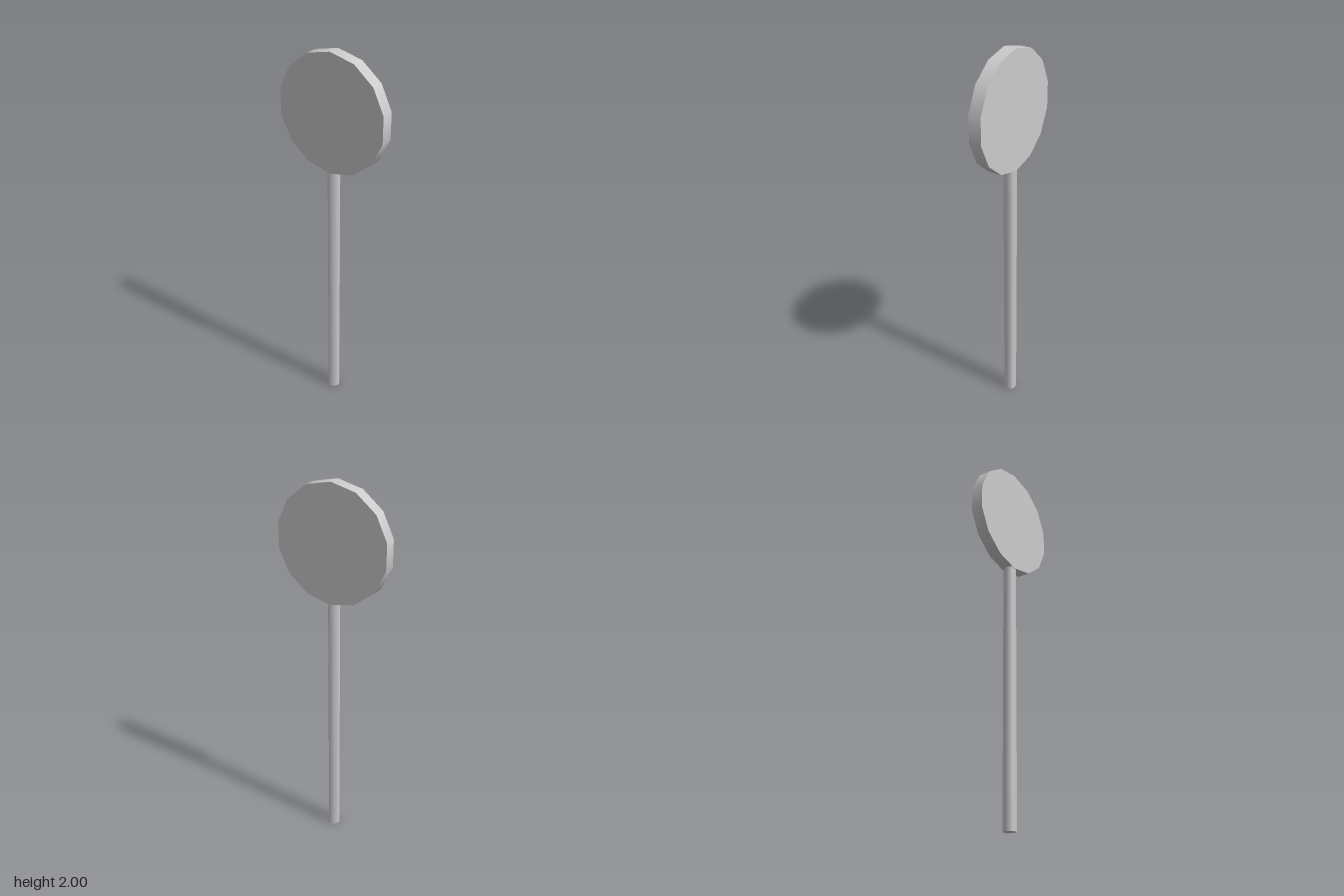
import * as THREE from 'three';

export function createModel() {
  const model = new THREE.Group();
  const material = new THREE.MeshStandardMaterial({ color: 0xcccccc });

  const add = (name, geometry, y) => {
    const mesh = new THREE.Mesh(geometry, material);
    mesh.name = name;
    mesh.position.y = y;
    model.add(mesh);
  };

  // Hexagonal stick, its top tucked just inside the disc
  const stickHeight = 1.405;
  add('stick', new THREE.CylinderGeometry(0.034, 0.034, stickHeight, 6), stickHeight / 2);

  // Fourteen-sided disc facing sideways, one corner pointing straight up
  const radius = 0.304;
  const disc = new THREE.CylinderGeometry(radius, radius, 0.066, 14, 1, false, Math.PI / 2);
  disc.rotateZ(Math.PI / 2);
  add('disc', disc, 2 - radius);

  return model;
}
